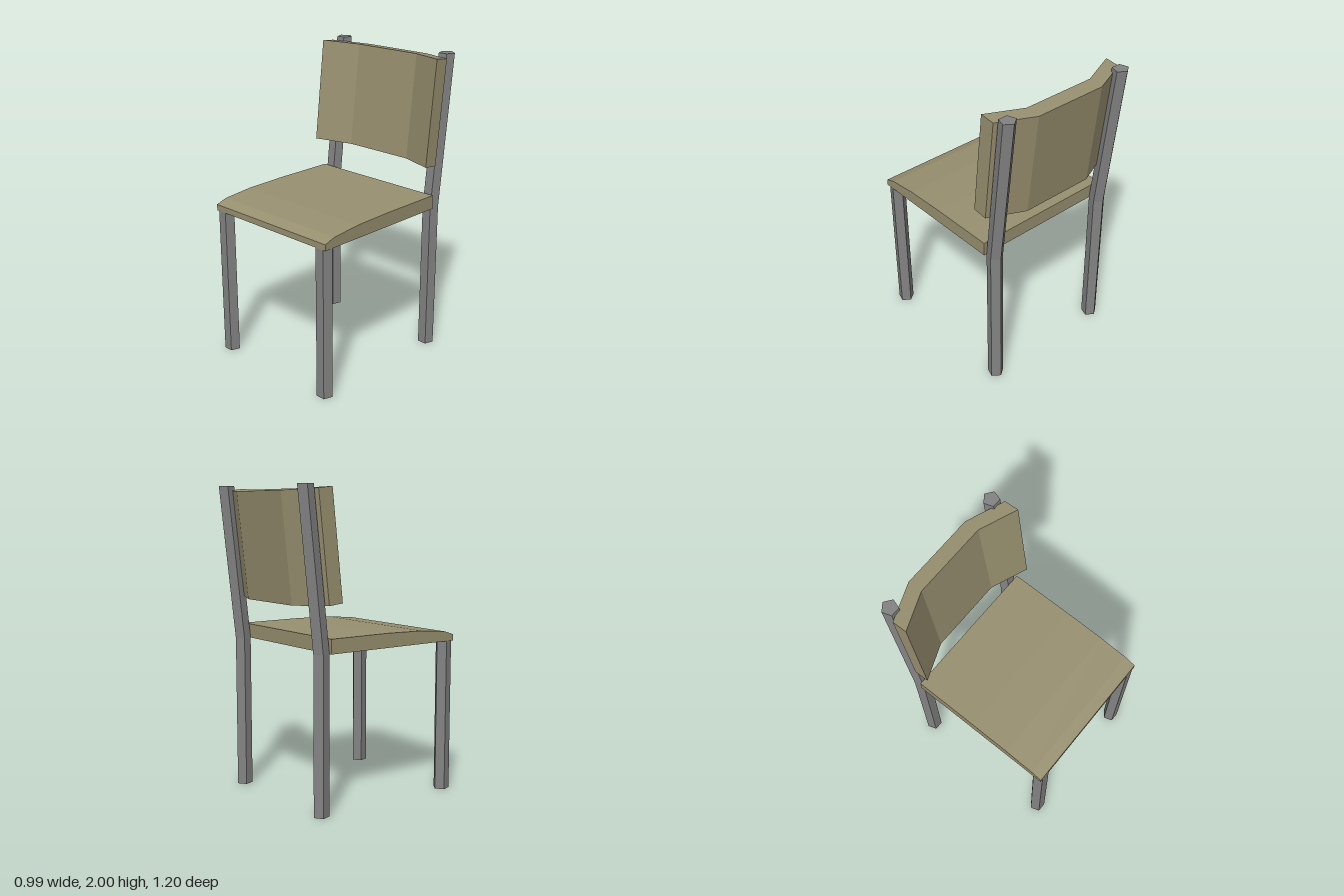
import * as THREE from 'three';

export function createModel() {
  const chair = new THREE.Group();
  chair.name = 'chair';

  const metal = new THREE.MeshStandardMaterial({ color: 0x838383, flatShading: true });
  metal.name = 'grey metal';
  const cushion = new THREE.MeshStandardMaterial({ color: 0x989070, flatShading: true });
  cushion.name = 'olive cushion';

  const add = (name, geometry, material) => {
    const mesh = new THREE.Mesh(geometry, material);
    mesh.name = name;
    chair.add(mesh);
    return mesh;
  };
  const extrude = (points, depth) => new THREE.ExtrudeGeometry(
    new THREE.Shape(points.map(([x, y]) => new THREE.Vector2(x, y))),
    { depth, bevelEnabled: false });

  // Five-sided leg standing on the floor, flat side forward
  const legGeometry = (height, segments) =>
    new THREE.CylinderGeometry(0.053, 0.053, height, 5, segments, false, Math.PI)
      .translate(0, height / 2, 0);

  // Back legs lean backwards above the seat
  const backLegGeometry = legGeometry(2, 2);
  const pos = backLegGeometry.attributes.position;
  for (let i = 0; i < pos.count; i++) {
    pos.setZ(i, pos.getZ(i) - 0.11 * Math.max(0, pos.getY(i) - 1));
  }
  const frontLegGeometry = legGeometry(1, 1);

  for (const [side, s] of [['left', 1], ['right', -1]]) {
    add(side + 'FrontLeg', frontLegGeometry, metal).position.set(s * 0.445, 0, 0.562);
    add(side + 'BackLeg', backLegGeometry, metal).position.set(s * 0.445, 0, -0.433);
  }

  // Seat: side profile (z, y) with a rounded front edge, swept across the width
  const seat = add('seat', extrude([
    [-0.39, 1], [0.605, 1], [0.605, 1.04], [0.53, 1.065],
    [0.325, 1.085], [0.05, 1.092], [-0.39, 1.092],
  ], 0.99), cushion);
  seat.rotation.y = -Math.PI / 2;
  seat.position.x = 0.495;

  // Backrest: bent plan (x, depth) swept upwards and tilted with the back legs
  const backrest = add('backrest', extrude([
    [-0.495, 0], [-0.25, 0.1], [0.25, 0.1], [0.495, 0],
    [0.495, 0.1], [0.25, 0.2], [-0.25, 0.2], [-0.495, 0.1],
  ], 0.69), cushion);
  backrest.rotation.x = -(Math.PI / 2 + 0.11);
  backrest.position.set(0, 1.3, -0.305);

  return chair;
}
